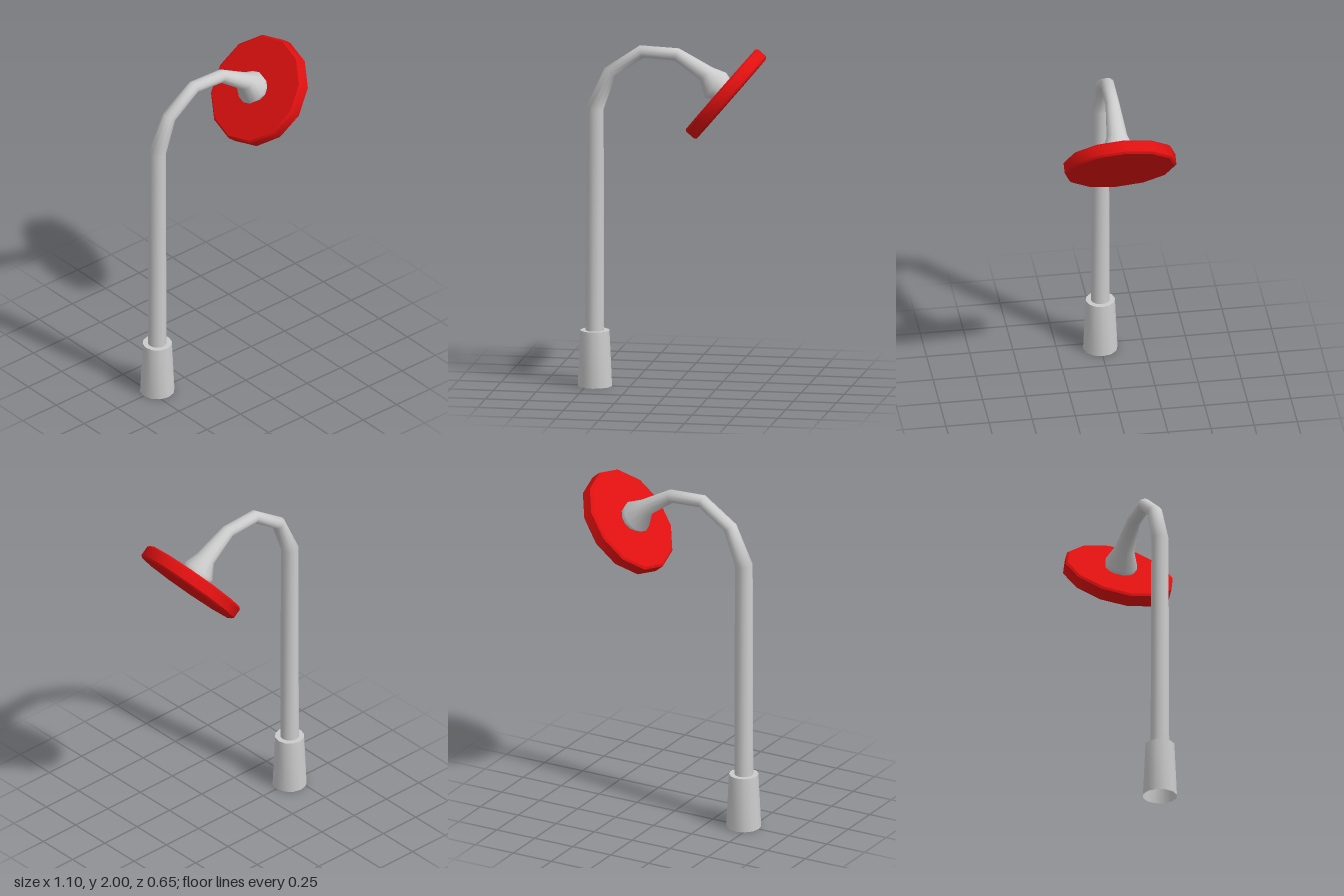
import * as THREE from 'three';
import { toCreasedNormals } from 'three/addons/utils/BufferGeometryUtils.js';

const SIDES = 12;
const grey = new THREE.MeshStandardMaterial({ color: 0xcccccc, side: THREE.DoubleSide });
const red = new THREE.MeshStandardMaterial({ color: 0xe01010 });

// Revolve a profile of [radius, y] pairs, keeping sharp edges
function turned(profile) {
  const points = profile.map(([r, y]) => new THREE.Vector2(r, y));
  return toCreasedNormals(new THREE.LatheGeometry(points, SIDES), 0.65);
}

// Bent tube: each section is [outer x, outer y, inner x, inner y, half depth in z]
function bentTube(sections) {
  const positions = [], index = [];
  sections.forEach(([ox, oy, ix, iy, depth], i) => {
    for (let j = 0; j < SIDES; j++) {
      const angle = (j / SIDES) * Math.PI * 2, c = Math.cos(angle) / 2;
      positions.push((ox + ix) / 2 + c * (ox - ix), (oy + iy) / 2 + c * (oy - iy), depth * Math.sin(angle));
      if (i === sections.length - 1) continue;
      const a = i * SIDES + j, b = i * SIDES + (j + 1) % SIDES;
      index.push(a, b, b + SIDES, a, b + SIDES, a + SIDES);
    }
  });
  const geometry = new THREE.BufferGeometry();
  geometry.setAttribute('position', new THREE.Float32BufferAttribute(positions, 3));
  geometry.setIndex(index);
  geometry.computeVertexNormals();
  return geometry;
}

export function createModel() {
  const model = new THREE.Group();
  model.name = 'streetLamp';
  const add = (name, geometry, material) => {
    const mesh = new THREE.Mesh(geometry, material);
    mesh.name = name;
    model.add(mesh);
    return mesh;
  };

  // Tapered foot, open underneath
  add('base', turned([[0.1, 0], [0.085, 0.325], [0.045, 0.325]]), grey).position.x = -0.453;

  // Upright pole, bending over and flaring out at the lamp head
  add('pole', bentTube([
    [-0.508, 0.3, -0.4, 0.3, 0.055],
    [-0.505, 1.63, -0.402, 1.62, 0.05],
    [-0.397, 1.86, -0.333, 1.815, 0.042],
    [-0.19, 2.0, -0.17, 1.928, 0.04],
    [0.037, 1.99, 0.01, 1.918, 0.041],
    [0.233, 1.884, 0.16, 1.81, 0.06],
    [0.312, 1.857, 0.19, 1.704, 0.096],
    [0.335, 1.82, 0.235, 1.7, 0.085],
  ]), grey);

  // Tilted disc with chamfered rim
  const head = add('lampHead', turned([
    [0, -0.041], [0.312, -0.041], [0.324, -0.03],
    [0.324, 0.03], [0.312, 0.041], [0, 0.041],
  ]), red);
  head.position.set(0.312, 1.733, 0);
  head.rotation.z = THREE.MathUtils.degToRad(50);

  return model;
}
